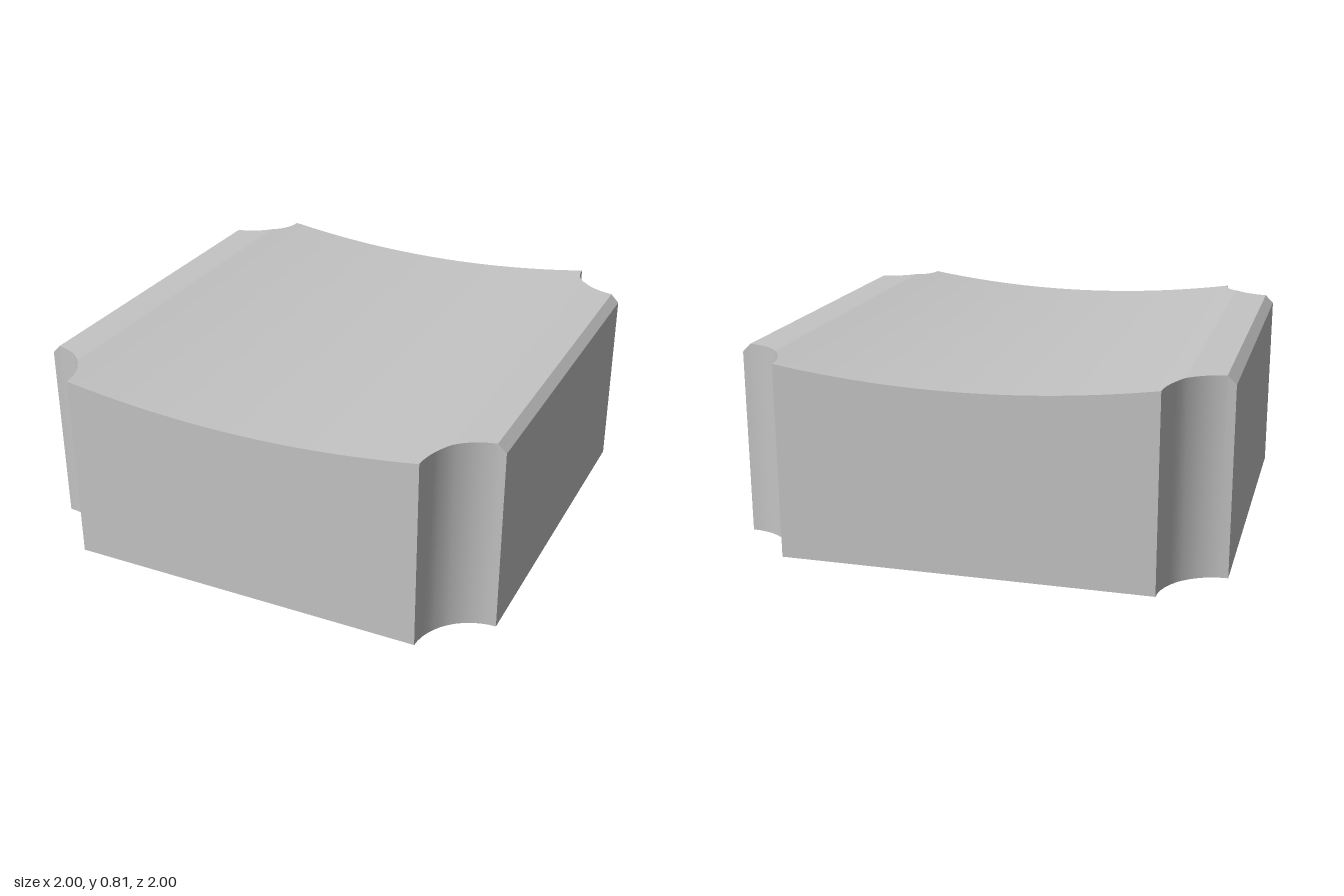
import * as THREE from 'three';
import { toCreasedNormals } from 'three/addons/utils/BufferGeometryUtils.js';

const NOTCH = 0.243;      // radius of the scooped outer corners
const FLAT = 0.818;       // x where the dish meets the flat shoulder
const CHAMFER = 0.965;    // x where the side chamfer starts
const CEILING = 0.69;
const POST_BOTTOM = 0.45;

// Height of the dished, chamfered top at x
function topHeight(x) {
  const a = Math.abs(x);
  if (a > CHAMFER) return 0.81 - (a - CHAMFER);
  return a > FLAT ? 0.81 : 0.74 + 0.07 * (a / FLAT) ** 2;
}

// Square outline with scooped corners, counter-clockwise in (x, z)
function outline(half, r, extraX = [], edgeSteps = 1) {
  const angles = extraX.map((x) => Math.acos((half - x) / r));
  for (let i = 0; i <= 12; i++) angles.push((i / 12) * Math.PI / 2);
  angles.sort((a, b) => b - a);
  const corner = angles.map((t) => [half - r * Math.cos(t), half - r * Math.sin(t)]);
  const e = half - r;
  const edge = [];
  for (let i = 1; i < edgeSteps; i++) edge.push([e - (2 * e * i) / edgeSteps, half]);
  const front = [...corner, ...edge, ...corner.map(([x, z]) => [-x, z]).reverse()];
  const pts = [...front, ...front.map(([x, z]) => [-x, -z])];
  return pts.map(([x, z]) => new THREE.Vector2(x, z));
}

function geometryFrom(positions) {
  const g = new THREE.BufferGeometry();
  g.setAttribute('position', new THREE.Float32BufferAttribute(positions, 3));
  return toCreasedNormals(g, 0.4);
}

// Vertical wall from y = 0 up to height(x) along a closed outline
function wall(pts, height, inward = false) {
  const pos = [];
  pts.forEach((p, i) => {
    const q = pts[(i + 1) % pts.length];
    const [a, b] = inward ? [q, p] : [p, q];
    const a0 = [a.x, 0, a.y], a1 = [a.x, height(a.x), a.y];
    const b0 = [b.x, 0, b.y], b1 = [b.x, height(b.x), b.y];
    pos.push(...a0, ...a1, ...b0, ...b0, ...a1, ...b1);
  });
  return geometryFrom(pos);
}

// Top skin made of strips running front to back
function topSkin(pts) {
  const row = pts.filter((p) => p.y > 0).sort((a, b) => a.x - b.x);
  const pos = [];
  for (let i = 0; i + 1 < row.length; i++) {
    const [p, q] = [row[i], row[i + 1]];
    const hp = topHeight(p.x), hq = topHeight(q.x);
    const A = [p.x, hp, -p.y], B = [p.x, hp, p.y], C = [q.x, hq, q.y], D = [q.x, hq, -q.y];
    pos.push(...A, ...B, ...C, ...A, ...C, ...D);
  }
  return geometryFrom(pos);
}

// Flat face looking down at height y
function downFace(pts, y, hole) {
  const shape = new THREE.Shape(pts);
  if (hole) shape.holes.push(new THREE.Path(hole));
  return new THREE.ShapeGeometry(shape).rotateX(Math.PI / 2).translate(0, y, 0);
}

// Square block with a cross-shaped socket through it
function socketBlock(half, armLength, armWidth, y0, y1) {
  const shape = new THREE.Shape([[-1, -1], [1, -1], [1, 1], [-1, 1]]
    .map(([x, z]) => new THREE.Vector2(x * half, z * half)));
  const cross = [];
  for (let k = 0; k < 4; k++) {
    for (const [x, z] of [[armLength, -armWidth], [armLength, armWidth], [armWidth, armWidth]]) {
      cross.push(new THREE.Vector2(x, z).rotateAround(new THREE.Vector2(), k * Math.PI / 2));
    }
  }
  shape.holes.push(new THREE.Path(cross));
  return new THREE.ExtrudeGeometry(shape, { depth: y1 - y0, bevelEnabled: false })
    .rotateX(Math.PI / 2).translate(0, y1, 0);
}

export function createModel() {
  const grey = new THREE.MeshStandardMaterial({ color: 0xc4c4c4 });
  grey.name = 'plain grey';
  const model = new THREE.Group();
  model.name = 'keycap';
  const add = (name, geometry) => {
    const mesh = new THREE.Mesh(geometry, grey);
    mesh.name = name;
    model.add(mesh);
  };

  // Outer shell
  const outer = outline(1, NOTCH, [FLAT, CHAMFER], 32);
  add('outerWalls', wall(outer, topHeight));
  add('dishedTop', topSkin(outer));

  // Hollow underside
  const inner = outline(0.875, 0.12);
  add('bottomRim', downFace(outer, 0, inner));
  add('innerWalls', wall(inner, () => CEILING, true));
  add('ceiling', downFace(inner, CEILING));

  // Mounting post with a stepped cross socket
  const step = POST_BOTTOM + 0.03;
  add('postLip', socketBlock(0.335, 0.255, 0.09, POST_BOTTOM, step));
  add('postCore', socketBlock(0.335, 0.228, 0.068, step, CEILING));
  return model;
}
